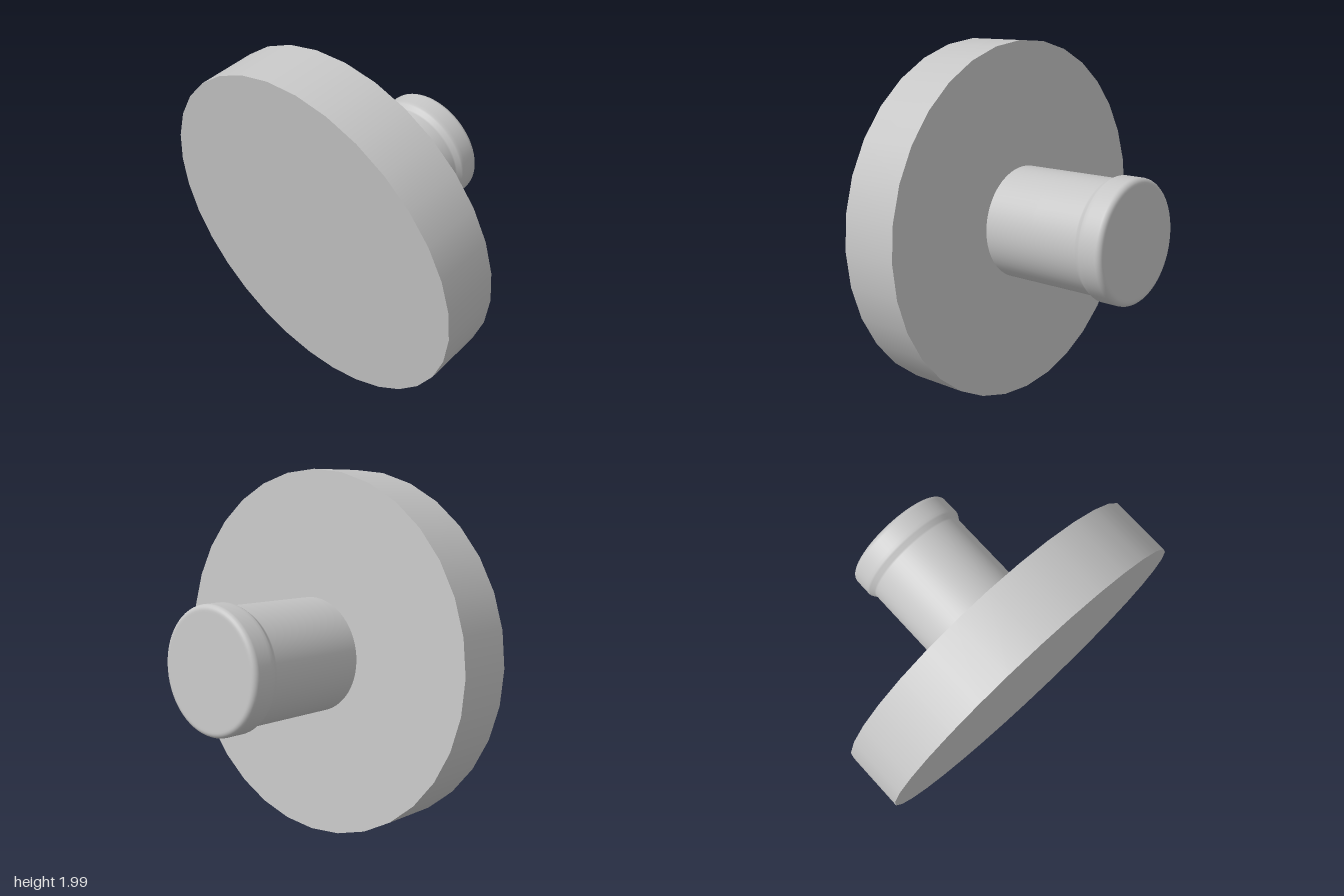
import * as THREE from 'three';

export function createModel() {
  const model = new THREE.Group();
  model.name = 'discKnob';
  const grey = new THREE.MeshStandardMaterial({ color: 0xc6c6c6 });
  grey.name = 'plain grey';

  const radius = 0.987, thickness = 0.34;

  // Everything is turned about one tilted axis; the origin is the disc's front face centre
  const body = new THREE.Group();
  body.name = 'tiltedBody';
  const axis = new THREE.Vector3(0.877, 0.11, -0.467).normalize();
  body.quaternion.setFromUnitVectors(new THREE.Vector3(0, 1, 0), axis);
  body.position.set(-0.327, 0.981, 0.08);
  model.add(body);

  // Wide flat disc with sharp rims
  const disc = new THREE.Mesh(new THREE.CylinderGeometry(radius, radius, thickness, 32), grey);
  disc.name = 'disc';
  disc.position.y = thickness / 2;
  body.add(disc);

  // Stem with a slightly wider collar and a rounded end
  const r = 0.31, collar = 0.332, length = 0.748, round = 0.03;
  const profile = [
    [r, -0.02], [r, 0.3], [r, 0.58], [r + 0.003, 0.59],
    [collar - 0.004, 0.612], [collar, 0.622], [collar, 0.64],
  ].map(([x, y]) => new THREE.Vector2(x, y));
  for (let i = 0; i <= 6; i++) {
    const a = (i / 6) * Math.PI / 2;
    profile.push(new THREE.Vector2(
      collar - round + round * Math.cos(a), length - round + round * Math.sin(a)));
  }
  profile.push(new THREE.Vector2(collar - round - 0.01, length), new THREE.Vector2(0, length));
  const stem = new THREE.Mesh(new THREE.LatheGeometry(profile, 64), grey);
  stem.name = 'stemWithCollar';
  stem.position.y = thickness;
  body.add(stem);

  return model;
}
